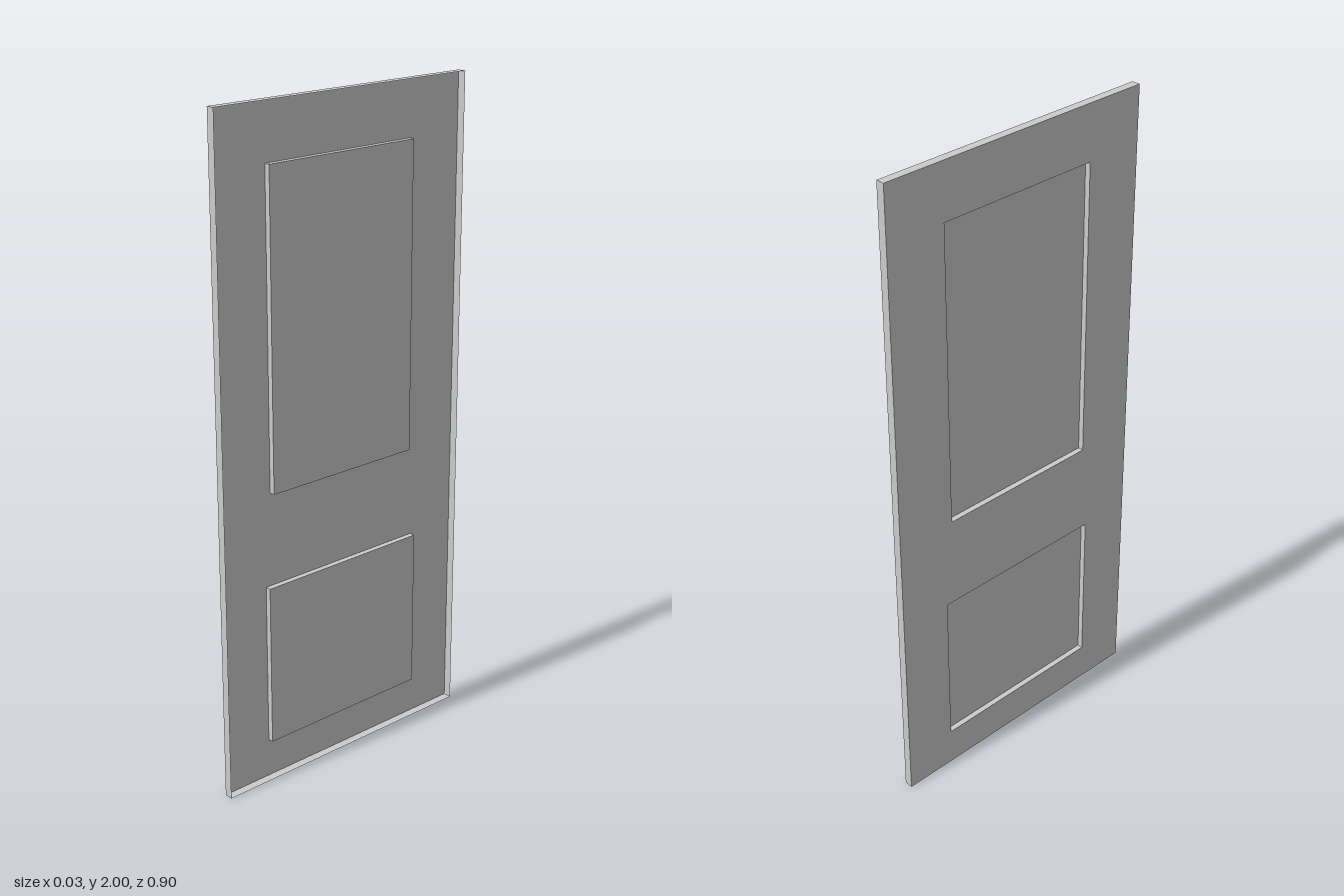
import * as THREE from 'three';

const HALF_DEPTH = 0.013, EMBOSS = 0.017, WIDTH = 0.9, HEIGHT = 2;
// left, right, bottom, top of each raised panel on the door face
const PANELS = {
  upperPanel: [-0.265, 0.26, 0.9, 1.83],
  lowerPanel: [-0.285, 0.285, 0.12, 0.615],
};

// Box without its back face, or without back and front faces
function openBox([x0, x1, y0, y1], z0, z1, withFront) {
  const g = new THREE.BoxGeometry(x1 - x0, y1 - y0, z1 - z0);
  g.setIndex(Array.from(g.index.array.slice(0, withFront ? 30 : 24)));
  g.clearGroups();
  return g.translate((x0 + x1) / 2, (y0 + y1) / 2, (z0 + z1) / 2);
}

function rectangle(target, [x0, x1, y0, y1]) {
  target.moveTo(x0, y0).lineTo(x1, y0).lineTo(x1, y1).lineTo(x0, y1).closePath();
  return target;
}

export function createModel() {
  const group = new THREE.Group();
  group.name = 'door';
  const material = new THREE.MeshStandardMaterial({ color: 0xcccccc, side: THREE.DoubleSide });
  const add = (name, geometry) => {
    const mesh = new THREE.Mesh(geometry, material);
    mesh.name = name;
    // drawn facing +z, turned to face +x
    mesh.rotation.y = Math.PI / 2;
    group.add(mesh);
  };
  const outline = [-WIDTH / 2, WIDTH / 2, 0, HEIGHT];

  // Thin sheet with an opening for each panel
  const sheet = rectangle(new THREE.Shape(), outline);
  for (const p of Object.values(PANELS)) sheet.holes.push(rectangle(new THREE.Path(), p));
  add('doorSheet', new THREE.ShapeGeometry(sheet).translate(0, 0, -HALF_DEPTH));

  // Folded rim around the sheet, open on the +x side
  add('rim', openBox(outline, -HALF_DEPTH, HALF_DEPTH, false));

  // Embossed panels, hollow from behind
  for (const [name, p] of Object.entries(PANELS)) {
    add(name, openBox(p, -HALF_DEPTH, -HALF_DEPTH + EMBOSS, true));
  }
  return group;
}
